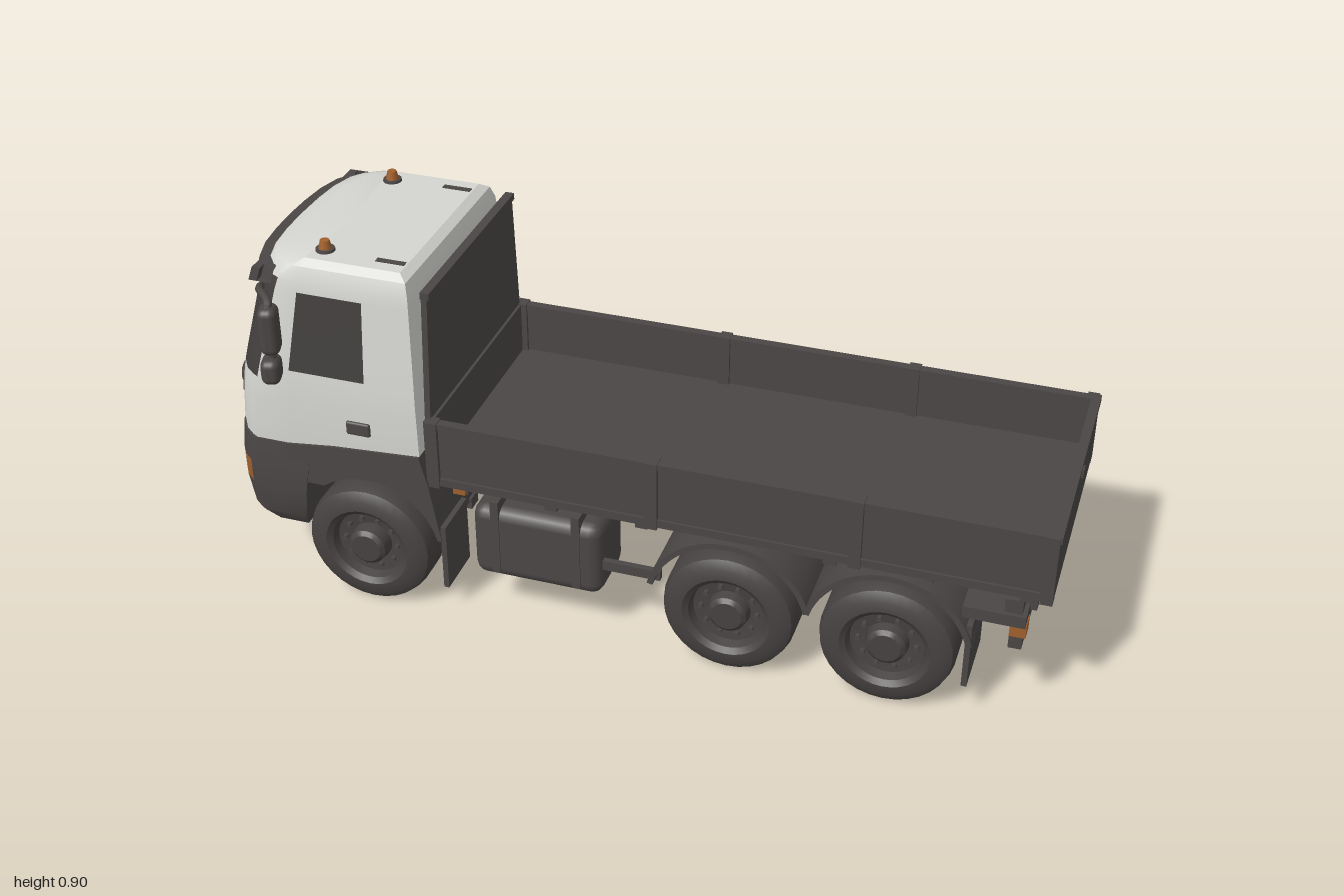
import * as THREE from 'three';
import { toCreasedNormals } from 'three/addons/utils/BufferGeometryUtils.js';
import { RoundedBoxGeometry } from 'three/addons/geometries/RoundedBoxGeometry.js';

const mat = (name, color) => Object.assign(new THREE.MeshStandardMaterial({ color }), { name });

export function createModel() {
  const white = mat('cabPaint', 0xd4d4d0);
  const dark = mat('darkBody', 0x4a4645);
  const glass = mat('darkGlass', 0x423e3e);
  const rubber = mat('rubber', 0x464241);
  const orange = mat('amber', 0xa0602c);
  const lamp = mat('headlampGrey', 0xa8a8a4);
  const truck = new THREE.Group();
  truck.name = 'flatbedTruck';

  const add = (name, geo, material, x = 0, y = 0, z = 0) => {
    const m = new THREE.Mesh(geo, material);
    m.name = name;
    m.position.set(x, y, z);
    truck.add(m);
    return m;
  };
  // box given by its limits on each axis
  const box = (name, material, x0, x1, y0, y1, z0, z1, r = 0) => {
    const s = [x1 - x0, y1 - y0, Math.abs(z1 - z0)];
    const geo = r ? new RoundedBoxGeometry(...s, 2, r) : new THREE.BoxGeometry(...s);
    return add(name, geo, material, (x0 + x1) / 2, (y0 + y1) / 2, (z0 + z1) / 2);
  };
  const pair = (name, material, x0, x1, y0, y1, z0, z1, r) => {
    for (const s of [1, -1]) box(name, material, x0, x1, y0, y1, s * z0, s * z1, r);
  };
  const rodZ = (name, r, len, x, y, z = 0) => {
    add(name, new THREE.CylinderGeometry(r, r, len, 16), dark, x, y, z).rotation.x = Math.PI / 2;
  };
  // side outline in x and y, given depth in z
  const extrude = (name, shape, material, z, depth) => add(name,
    toCreasedNormals(new THREE.ExtrudeGeometry(shape, { depth, bevelEnabled: false, curveSegments: 20 }), 0.6),
    material, 0, 0, z);

  // Loft of plan sections with a rounded nose; level = [y, front x, half width, back x]
  const T = [1, 0.97, 0.9, 0.78, 0.55, 0.28];
  function loft(name, levels, materials, pick, bulge = 1) {
    const rings = levels.map(([y, xf, w, xb]) => {
      const wx = Math.min(-0.80 + Math.max(0, y - 0.6) * 0.15, xb - 0.02);
      const half = [[xb, w], [Math.max(-0.61, wx + 0.01) < xb ? Math.max(-0.61, wx + 0.01) : xb - 0.01, w], [wx, w]];
      for (const t of T) half.push([xf + bulge * (0.03 * t * t + 0.06 * t ** 8), w * t]);
      const all = [...half, [xf, 0], ...half.slice().reverse().map(([x, z]) => [x, -z])];
      return all.map(([x, z]) => new THREE.Vector3(x, y, z));
    });
    const buckets = materials.map(() => []);
    const tri = (k, ...p) => p.forEach(v => buckets[k].push(v.x, v.y, v.z));
    const n = rings[0].length;
    for (let j = 0; j + 1 < rings.length; j++) {
      for (let i = 0; i < n; i++) {
        const q = (i + 1) % n, lo = rings[j], hi = rings[j + 1];
        const k = pick(j, Math.min(i, n - 2 - i));
        tri(k, lo[i], hi[i], lo[q]);
        tri(k, lo[q], hi[i], hi[q]);
      }
    }
    for (const [ring, up] of [[rings[0], false], [rings.at(-1), true]]) {
      const c = ring.reduce((a, p) => a.add(p), new THREE.Vector3()).divideScalar(n);
      for (let i = 0; i < n; i++) {
        const a = ring[i], b = ring[(i + 1) % n];
        up ? tri(0, c, b, a) : tri(0, c, a, b);
      }
    }
    const geo = new THREE.BufferGeometry();
    geo.setAttribute('position', new THREE.Float32BufferAttribute(buckets.flat(), 3));
    let start = 0;
    buckets.forEach((b, k) => { geo.addGroup(start, b.length / 3, k); start += b.length / 3; });
    geo.computeVertexNormals();
    return add(name, toCreasedNormals(geo, 0.55), materials);
  }

  // Cab: painted shell with windscreen, side windows and grille as faces
  loft('cabShell', [
    [0.39, -0.99, 0.296, -0.48], [0.425, -0.99, 0.297, -0.48], [0.525, -0.98, 0.296, -0.482],
    [0.57, -0.972, 0.293, -0.484], [0.60, -0.965, 0.29, -0.485], [0.80, -0.915, 0.268, -0.495],
    [0.83, -0.905, 0.264, -0.497], [0.86, -0.875, 0.252, -0.505], [0.874, -0.83, 0.232, -0.525],
  ], [white, glass, dark], (j, i) => {
    if (i >= 3 && j >= 3 && j <= 5) return 1;
    if (i === 1 && j === 4) return 1;
    if (i >= 6 && j <= 1) return 2;
    return 0;
  });
  loft('sunVisor', [[0.812, -0.925, 0.266, -0.87], [0.845, -0.915, 0.262, -0.86]], [dark], () => 0);
  for (let k = 0; k < 4; k++) {
    const y = 0.405 + k * 0.031;
    loft('grilleSlat', [[y, -1.0, 0.215, -0.93], [y + 0.018, -0.998, 0.215, -0.93]], [dark], () => 0, 0.35);
  }
  loft('frontBumper', [
    [0.155, -0.965, 0.275, -0.80], [0.19, -0.99, 0.298, -0.79], [0.27, -1.0, 0.305, -0.78],
    [0.33, -1.0, 0.305, -0.77], [0.40, -0.993, 0.30, -0.76],
  ], [dark, orange, lamp], (j, i) => (j !== 2 ? 0 : i === 4 ? 1 : i === 5 ? 2 : 0));
  box('numberPlatePanel', dark, -1.003, -0.98, 0.21, 0.25, -0.1, 0.1);

  // Front wheel arches under the doors
  const arch = new THREE.Shape();
  arch.moveTo(-0.82, 0.30);
  arch.lineTo(-0.82, 0.40);
  arch.lineTo(-0.70, 0.415);
  arch.lineTo(-0.48, 0.43);
  arch.lineTo(-0.46, 0.35);
  arch.lineTo(-0.435, 0.20);
  arch.lineTo(-0.446, 0.20);
  arch.absarc(-0.62, 0.16, 0.178, 0.23, Math.PI - 0.9, false);
  extrude('frontArch', arch, dark, -0.303, 0.606);

  // Doors, roof fittings and mirrors
  pair('doorHandle', dark, -0.66, -0.60, 0.46, 0.495, 0.29, 0.303, 0.005);
  pair('roofVent', dark, -0.60, -0.53, 0.862, 0.876, 0.185, 0.2);
  for (const s of [1, -1]) {
    add('beaconBase', new THREE.CylinderGeometry(0.022, 0.024, 0.012, 14), dark, -0.73, 0.874, s * 0.185);
    add('beacon', new THREE.CylinderGeometry(0.011, 0.018, 0.03, 14), orange, -0.73, 0.885, s * 0.185);
    const arm = new THREE.CatmullRomCurve3([[-0.87, 0.79, 0.25], [-0.85, 0.805, 0.29], [-0.81, 0.80, 0.33], [-0.81, 0.78, 0.345]]
      .map(([x, y, z]) => new THREE.Vector3(x, y, s * z)));
    add('mirrorArm', new THREE.TubeGeometry(arm, 12, 0.01, 8), dark);
    const post = add('mirrorPost', new THREE.CylinderGeometry(0.009, 0.009, 0.2, 8), dark, -0.81, 0.7, s * 0.335);
    post.rotation.x = 0;
    const main = add('mainMirror', new RoundedBoxGeometry(0.045, 0.12, 0.058, 3, 0.018), dark, -0.81, 0.735, s * 0.336);
    const wide = add('wideMirror', new RoundedBoxGeometry(0.045, 0.063, 0.062, 3, 0.018), dark, -0.815, 0.63, s * 0.338);
    main.rotation.y = wide.rotation.y = s * 0.3;
  }

  // Load bed: floor, boards, rails, ribs and headboard
  box('bedFloor', dark, -0.45, 0.985, 0.365, 0.4, -0.288, 0.288);
  pair('sideBoard', dark, -0.45, 0.985, 0.365, 0.527, 0.28, 0.293);
  pair('sideTopRail', dark, -0.45, 0.985, 0.515, 0.53, 0.276, 0.298);
  pair('sideBottomRail', dark, -0.45, 0.985, 0.36, 0.38, 0.28, 0.299);
  for (const x of [-0.445, 0.085, 0.555, 0.978]) pair('sidePost', dark, x - 0.014, x + 0.014, 0.355, 0.532, 0.272, 0.303);
  box('tailgate', dark, 0.978, 0.992, 0.362, 0.53, -0.294, 0.294);
  box('tailgateRail', dark, 0.974, 0.996, 0.515, 0.532, -0.296, 0.296);
  box('tailgateLatch', dark, 0.99, 1.0, 0.50, 0.52, -0.012, 0.012);
  box('bedFront', dark, -0.465, -0.445, 0.36, 0.53, -0.296, 0.296);
  const head = new THREE.Shape([[-0.288, 0.36], [0.288, 0.36], [0.282, 0.53], [0.258, 0.848], [-0.258, 0.848], [-0.282, 0.53]]
    .map(p => new THREE.Vector2(...p)));
  const board = extrude('headboard', head, dark, 0, 0.014);
  board.rotation.y = Math.PI / 2;
  board.position.x = -0.466;
  box('headboardRail', dark, -0.468, -0.446, 0.832, 0.848, -0.26, 0.26);

  // Chassis
  pair('chassisRail', dark, -0.9, 0.94, 0.24, 0.325, 0.085, 0.115);
  pair('subframeRail', dark, -0.45, 0.96, 0.32, 0.367, 0.08, 0.12);
  for (let k = 0; k < 7; k++) box('bedCrossMember', dark, -0.4 + k * 0.22, -0.37 + k * 0.22, 0.335, 0.367, -0.28, 0.28);
  for (const x of [-0.85, -0.45, 0.0, 0.45, 0.9]) box('chassisCrossMember', dark, x - 0.02, x + 0.02, 0.25, 0.315, -0.1, 0.1);
  box('engine', dark, -0.88, -0.5, 0.2, 0.4, -0.085, 0.085, 0.03);
  pair('fuelTank', dark, -0.36, -0.04, 0.12, 0.315, 0.125, 0.295, 0.03);
  for (const x of [-0.3, -0.1]) pair('tankStrap', dark, x - 0.01, x + 0.01, 0.14, 0.34, 0.11, 0.298);
  pair('sideGuard', dark, -0.04, 0.1, 0.195, 0.22, 0.265, 0.28);
  const shaft = add('propShaft', new THREE.CylinderGeometry(0.022, 0.022, 1.15, 12), dark, 0.06, 0.19, 0);
  shaft.rotation.z = Math.PI / 2;

  // Wheels: profile of [radius, distance outwards]
  const wheelGeo = (w, hub) => {
    const pts = [[0, 0.03], [0.08, 0.03], [0.095, 0.004], [0.13, 0], [0.15, 0.012], [0.158, 0.035], [0.158, w - 0.035],
      [0.152, w - 0.014], [0.13, w], [0.105, w + 0.002], [0.092, w - 0.008], [0.086, w - 0.03], [0.05, w - 0.035],
      [0.046, w + hub - 0.008], [0.036, w + hub], [0, w + hub]].map(p => new THREE.Vector2(...p));
    return toCreasedNormals(new THREE.LatheGeometry(pts, 32), 0.6);
  };
  const frontWheel = wheelGeo(0.135, 0.004), rearWheel = wheelGeo(0.19, -0.004);
  for (const x of [-0.62, 0.27, 0.64]) {
    const front = x < 0, inner = front ? 0.195 : 0.13;
    for (const s of [1, -1]) {
      add(front ? 'frontWheel' : 'rearWheel', front ? frontWheel : rearWheel, rubber, x, 0.16, s * inner).rotation.x = s * Math.PI / 2;
      for (let k = 0; k < 10; k++) {
        const a = k * Math.PI / 5;
        rodZ('wheelNut', 0.006, 0.015, x + 0.067 * Math.cos(a), 0.16 + 0.067 * Math.sin(a), s * (front ? 0.302 : 0.292));
      }
      if (!front) {
        // curved mudguard over each rear wheel
        const g = new THREE.Shape();
        g.absarc(x, 0.16, 0.198, 0.25, Math.PI - 0.25, false);
        g.absarc(x, 0.16, 0.184, Math.PI - 0.25, 0.25, true);
        extrude('rearMudguard', g, dark, s > 0 ? 0.135 : -0.312, 0.177);
      }
    }
    rodZ('axle', front ? 0.025 : 0.035, 0.46, x, 0.16);
    if (!front) {
      add('differential', new THREE.SphereGeometry(0.078, 20, 14), dark, x, 0.158, 0).scale.set(1.1, 1, 1);
      pair('axleSpring', dark, x - 0.13, x + 0.13, 0.205, 0.235, 0.085, 0.12);
    } else pair('frontSpring', dark, x - 0.19, x + 0.19, 0.18, 0.21, 0.09, 0.13);
  }
  pair('frontMudflap', dark, -0.438, -0.425, 0.065, 0.24, 0.17, 0.3);
  pair('rearMudflap', dark, 0.815, 0.828, 0.09, 0.26, 0.135, 0.305);
  pair('rearFlapBracket', dark, 0.80, 0.94, 0.27, 0.30, 0.12, 0.29);

  // Rear underrun beam and lamps
  box('rearBeam', dark, 0.89, 0.93, 0.285, 0.335, -0.28, 0.28);
  box('towBlock', dark, 0.9, 0.955, 0.28, 0.325, -0.1, 0.1, 0.01);
  pair('lampBoard', dark, 0.905, 0.935, 0.20, 0.29, 0.13, 0.275);
  pair('rearLamp', orange, 0.905, 0.942, 0.235, 0.272, 0.238, 0.279);
  pair('bedStay', dark, 0.925, 0.955, 0.28, 0.367, 0.2, 0.23);
  pair('sideMarker', orange, -0.40, -0.37, 0.345, 0.36, 0.29, 0.298);
  return truck;
}
